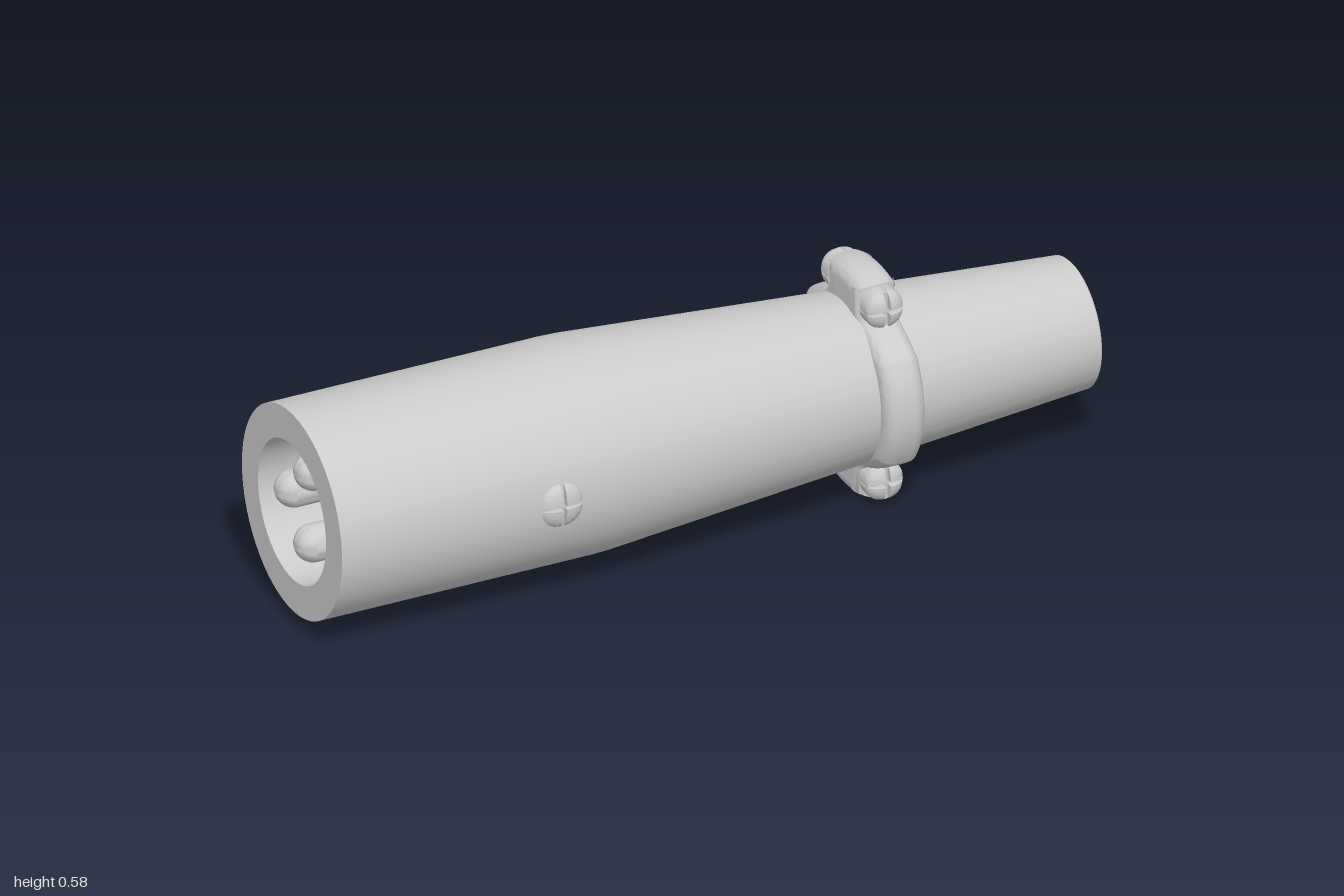
import * as THREE from 'three';
import { mergeGeometries, toCreasedNormals } from 'three/addons/utils/BufferGeometryUtils.js';

const grey = new THREE.MeshStandardMaterial({ color: 0xcccccc });
const greyDouble = new THREE.MeshStandardMaterial({ color: 0xcccccc, side: THREE.DoubleSide });
const V = (x, y) => new THREE.Vector2(x, y);

function part(name, geometry, material = grey) {
  const mesh = new THREE.Mesh(geometry, material);
  mesh.name = name;
  return mesh;
}

// Lathe turned so that its axis runs along x
function turned(points, segments) {
  const geo = new THREE.LatheGeometry(points, segments).rotateZ(-Math.PI / 2);
  return toCreasedNormals(geo, 0.5);
}

// Domed screw head with a cross slot; it rises along local +z from z = 0
function screwHead(name, radius, height, slotDepth, gap) {
  const floor = height - slotDepth;
  const shoulder = height * 0.5;
  const core = new THREE.CylinderGeometry(radius * 0.97, radius * 0.97, floor, 40).translate(0, floor / 2, 0);

  // One quarter of the dome, with its two slot walls
  const r = radius - gap;
  const profile = [V(0, 0), V(r, 0)];
  for (let i = 0; i <= 10; i++) {
    const a = (i / 10) * Math.PI / 2;
    profile.push(V(r * Math.cos(a), shoulder + (height - shoulder) * Math.sin(a)));
  }
  const dome = new THREE.LatheGeometry(profile, 12, 0, Math.PI / 2);
  const wall = new THREE.ShapeGeometry(new THREE.Shape(profile));
  const quarter = mergeGeometries([dome, wall, wall.clone().rotateY(-Math.PI / 2)]
    .map(g => toCreasedNormals(g, 0.6)));
  quarter.translate(gap, 0, gap);

  const group = new THREE.Group();
  group.name = name;
  group.add(part('slotFloor', core.rotateX(Math.PI / 2)));
  for (let k = 0; k < 4; k++) {
    const geo = quarter.clone().rotateY(k * Math.PI / 2).rotateX(Math.PI / 2);
    group.add(part('headQuarter', geo, greyDouble));
  }
  return group;
}

// Clamp outline: two round side straps and two raised ears, mirrored from one quadrant
function clampGeometry() {
  const quadrant = [];
  for (let i = 0; i <= 8; i++) {
    const a = (i / 8) * 0.55;
    quadrant.push(V(0.245 * Math.cos(a), 0.245 * Math.sin(a)));
  }
  const dip = new THREE.QuadraticBezierCurve(V(0.205, 0.135), V(0.165, 0.165), V(0.1, 0.195));
  quadrant.push(...dip.getPoints(8), V(0.089, 0.21), V(0.088, 0.272));
  for (let i = 0; i <= 8; i++) {
    const a = 1.27 + (i / 8) * (Math.PI / 2 - 1.27);
    quadrant.push(V(0.291 * Math.cos(a), 0.291 * Math.sin(a)));
  }
  const mirror = (sx, sy) => quadrant.map(p => V(p.x * sx, p.y * sy));
  const loop = [
    ...mirror(1, 1), ...mirror(-1, 1).reverse(),
    ...mirror(-1, -1), ...mirror(1, -1).reverse(),
  ];
  const outline = loop.filter((p, i) => p.distanceTo(loop[(i + 1) % loop.length]) > 0.002);
  const bevel = 0.036;
  const depth = 0.104 - 2 * bevel;
  const geo = new THREE.ExtrudeGeometry(new THREE.Shape(outline), {
    depth, bevelEnabled: true, bevelSize: bevel, bevelThickness: bevel,
    bevelOffset: -bevel, bevelSegments: 7,
  });
  geo.translate(0, 0, -depth / 2).rotateY(Math.PI / 2);
  return toCreasedNormals(geo, 0.7);
}

export function createModel() {
  const model = new THREE.Group();
  model.name = 'audioCableConnector';
  const body = new THREE.Group();
  body.name = 'connector';
  body.position.set(0, 0.292, -0.005);
  model.add(body);

  // Tapered shell with an open socket at the wide end
  const recess = -0.45;
  body.add(part('shell', turned([
    V(0, recess), V(0.175, recess), V(0.175, -1), V(0.258, -1),
    V(0.258, -0.3), V(0.2565, -0.26), V(0.158, 0.996), V(0.154, 1), V(0, 1),
  ], 96)));

  // Three round-tipped contact pins in the socket
  const pinRadius = 0.046;
  const tip = -0.946;
  const pinProfile = [];
  for (let i = 0; i <= 10; i++) {
    const a = (i / 10) * Math.PI / 2;
    pinProfile.push(V(pinRadius * Math.sin(a), tip - pinRadius * Math.cos(a)));
  }
  pinProfile.push(V(pinRadius, recess));
  for (const [y, z] of [[0.094, 0], [-0.094, 0], [0, -0.1]]) {
    const pin = part('contactPin', turned(pinProfile, 28));
    pin.position.set(0, y, z);
    body.add(pin);
  }

  // Screw in the side of the shell
  const shellScrew = screwHead('shellScrew', 0.055, 0.046, 0.022, 0.005);
  shellScrew.position.set(-0.435, 0.004, 0.227);
  body.add(shellScrew);

  // Cable clamp with a screw on each side of both ears
  const clamp = part('cableClamp', clampGeometry());
  clamp.position.x = 0.461;
  body.add(clamp);
  for (const sy of [1, -1]) {
    for (const sz of [1, -1]) {
      const screw = screwHead('clampScrew', 0.047, 0.056, 0.019, 0.006);
      screw.position.set(0.461, sy * 0.226, sz * 0.082);
      if (sz < 0) screw.rotation.y = Math.PI;
      body.add(screw);
    }
  }
  return model;
}
